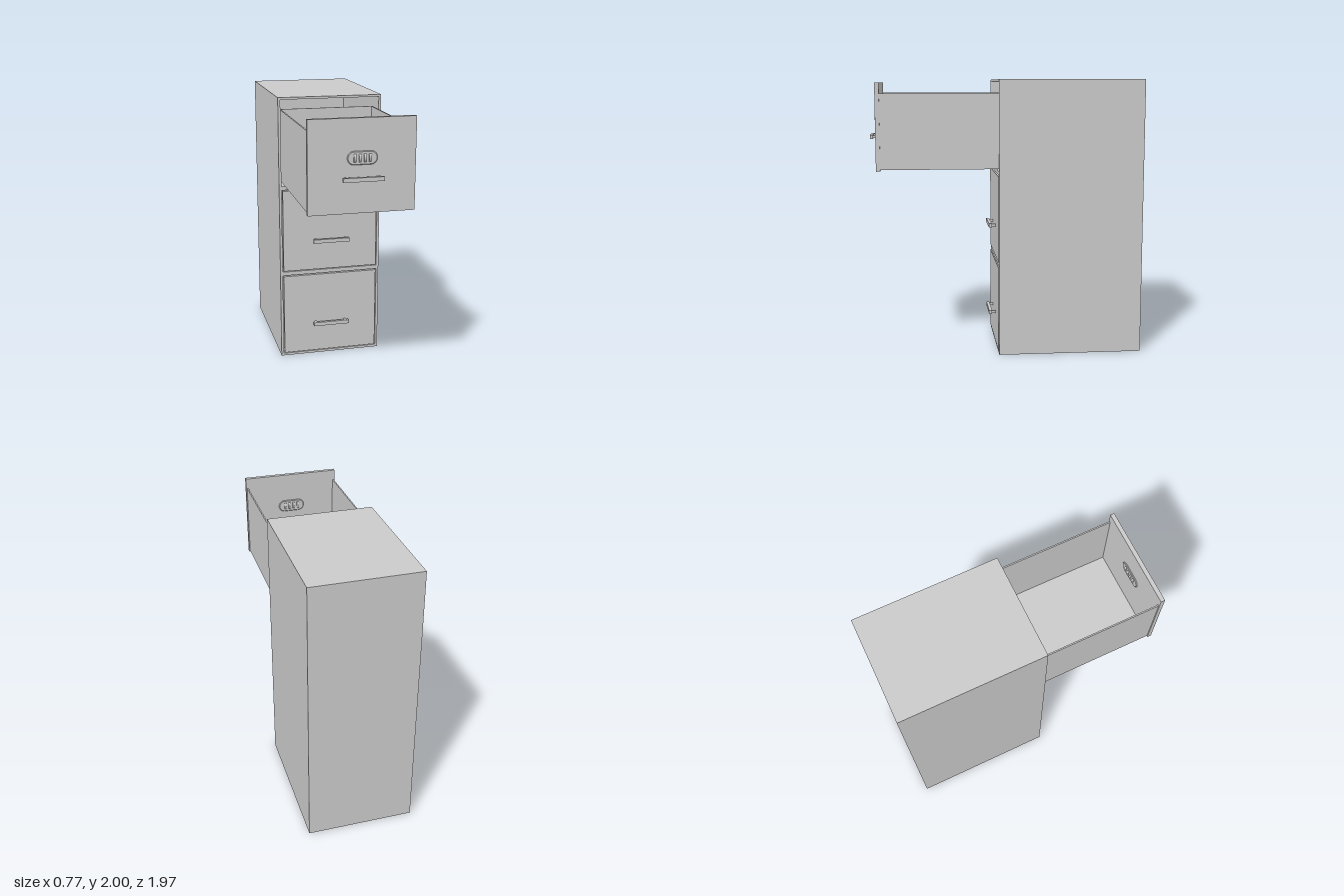
import * as THREE from 'three';

const material = new THREE.MeshStandardMaterial({ color: 0xcccccc });

function add(parent, name, geometry, x = 0, y = 0, z = 0) {
  const mesh = new THREE.Mesh(geometry, material);
  mesh.name = name;
  mesh.position.set(x, y, z);
  parent.add(mesh);
  return mesh;
}

// Box given by its minimum and maximum corners
function block(parent, name, [x0, y0, z0], [x1, y1, z1]) {
  return add(parent, name, new THREE.BoxGeometry(x1 - x0, y1 - y0, z1 - z0),
    (x0 + x1) / 2, (y0 + y1) / 2, (z0 + z1) / 2);
}

function rectangle(target, x0, y0, x1, y1) {
  target.moveTo(x0, y0);
  target.lineTo(x1, y0);
  target.lineTo(x1, y1);
  target.lineTo(x0, y1);
  target.closePath();
  return target;
}

const BOTTOMS = [0.025, 0.69, 1.355]; // lower edge of each drawer front
const HEIGHT = 0.622;
const GAP = 0.007;
const HALF = 0.36;

// Drawer with its front face at z = 0 and lower edge at y = 0
function makeDrawer() {
  const drawer = new THREE.Group();
  block(drawer, 'drawerFront', [-HALF, 0, -0.03], [HALF, HEIGHT, 0]);

  // Open tray behind the front
  const w = 0.353, t = 0.01, y0 = 0.01, y1 = 0.545, back = -0.985;
  block(drawer, 'drawerBottom', [-w, y0, back], [w, y0 + t, -0.03]);
  block(drawer, 'drawerBack', [-w + t, y0 + t, back], [w - t, y1, back + t]);
  for (const s of [-1, 1]) {
    const inner = s * (w - t), outer = s * w;
    block(drawer, 'drawerSide', [Math.min(inner, outer), y0 + t, back],
      [Math.max(inner, outer), y1, -0.03]);
  }

  // Bar handle on two posts
  const hy = 0.232;
  block(drawer, 'handleBar', [-0.137, hy - 0.014, 0.028], [0.137, hy + 0.014, 0.05]);
  for (const x of [-0.115, 0.115]) {
    block(drawer, 'handlePost', [x - 0.007, hy - 0.01, 0], [x + 0.007, hy + 0.01, 0.028]);
  }
  return drawer;
}

// Capsule-shaped plate with four thumb wheels
function makeLock() {
  const lock = new THREE.Group();
  lock.name = 'combinationLock';
  const r = 0.04, half = 0.056;
  const capsule = new THREE.Shape();
  capsule.moveTo(-half, -r);
  capsule.lineTo(half, -r);
  capsule.absarc(half, 0, r, -Math.PI / 2, Math.PI / 2, false);
  capsule.lineTo(-half, r);
  capsule.absarc(-half, 0, r, Math.PI / 2, Math.PI * 1.5, false);
  add(lock, 'lockPlate', new THREE.ExtrudeGeometry(capsule, {
    depth: 0.037, bevelEnabled: true, bevelSize: 0.005, bevelThickness: 0.004,
    bevelSegments: 1, curveSegments: 16,
  }), 0, 0, -0.034);

  const wheel = new THREE.CylinderGeometry(0.035, 0.035, 0.016, 24).rotateZ(Math.PI / 2);
  for (let i = 0; i < 4; i++) {
    add(lock, 'lockWheel', wheel, (i - 1.5) * 0.034, 0, -0.015);
  }
  return lock;
}

export function createModel() {
  const model = new THREE.Group();
  model.name = 'filingCabinet';

  // Cabinet shell with one compartment per drawer
  const shell = rectangle(new THREE.Shape(), -0.385, 0, 0.385, 2);
  for (const y of BOTTOMS) {
    shell.holes.push(rectangle(new THREE.Path(),
      -HALF - GAP, y - GAP, HALF + GAP, y + HEIGHT + GAP));
  }
  add(model, 'cabinetShell',
    new THREE.ExtrudeGeometry(shell, { depth: 1.03, bevelEnabled: false }), 0, 0, -0.965);
  block(model, 'cabinetBack', [-0.385, 0, -0.985], [0.385, 2, -0.965]);

  // Two closed drawers and the open top one
  BOTTOMS.forEach((y, i) => {
    const open = i === 2;
    const drawer = makeDrawer();
    drawer.name = ['bottomDrawer', 'middleDrawer', 'topDrawer'][i];
    // Closed trays stop short of the cabinet back
    drawer.position.set(0, y, open ? 0.935 : 0.07);
    if (open) {
      const lock = makeLock();
      lock.position.y = 0.365;
      drawer.add(lock);
    }
    model.add(drawer);
  });

  return model;
}
